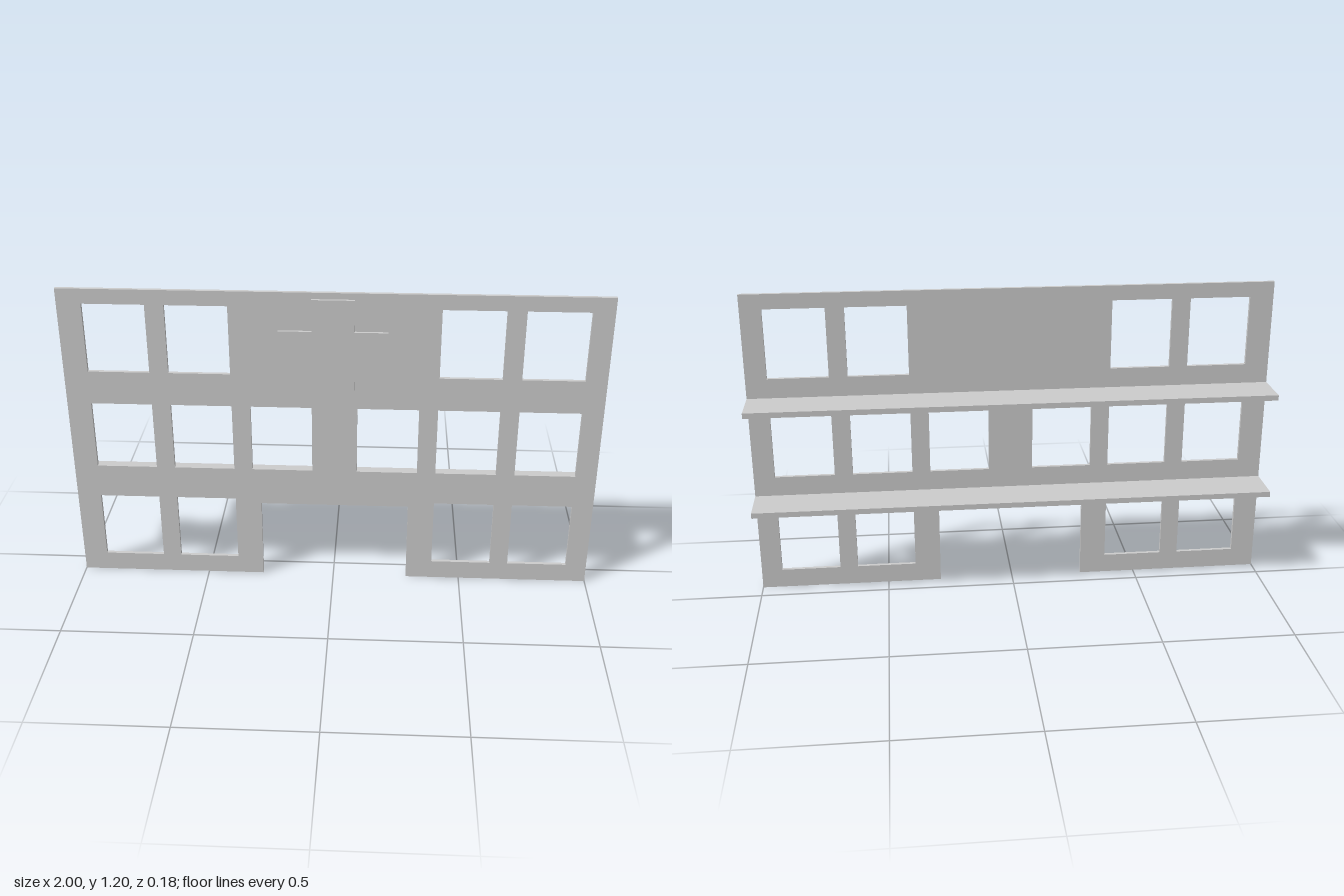
import * as THREE from 'three';

const material = new THREE.MeshStandardMaterial({ color: 0xcccccc, flatShading: true });

// Closed outline from corner points
const points = (list) => list.map(([x, y]) => new THREE.Vector2(x, y));

// Flat plate cut from a shape, spanning zBack to zFront
function plate(name, shape, zBack, zFront) {
  const geometry = new THREE.ExtrudeGeometry(shape, { depth: zFront - zBack, bevelEnabled: false });
  geometry.translate(0, 0, zBack);
  const mesh = new THREE.Mesh(geometry, material);
  mesh.name = name;
  return mesh;
}

export function createModel() {
  const group = new THREE.Group();
  group.name = 'hospitalFacade';

  // Facade outline with the doorway notch
  const wall = new THREE.Shape(points([
    [-1, 0], [-0.28, 0], [-0.28, 0.325], [0.29, 0.325],
    [0.29, 0], [1, 0], [1, 1.2], [-1, 1.2],
  ]));

  // Window openings: outer columns on every floor, inner pair on the middle floor
  const w = 0.23, h = 0.268;
  const outer = [-0.91, -0.61, 0.39, 0.69];
  const floors = [
    { y: 0.075, columns: outer },
    { y: 0.476, columns: [...outer, -0.31, 0.09] },
    { y: 0.875, columns: outer },
  ];
  for (const { y, columns } of floors) {
    for (const x of columns) {
      wall.holes.push(new THREE.Path(points([[x, y], [x, y + h], [x + w, y + h], [x + w, y]])));
    }
  }
  group.add(plate('facade', wall, 0.068, 0.082));

  // Raised cross above the doorway
  const a = 0.2, b = 0.078, cy = 0.976;
  const cross = new THREE.Shape(points([
    [-b, -a], [b, -a], [b, -b], [a, -b], [a, b], [b, b],
    [b, a], [-b, a], [-b, b], [-a, b], [-a, -b], [-b, -b],
  ].map(([x, y]) => [x, y + cy])));
  group.add(plate('cross', cross, 0.082, 0.092));

  // Floor slabs behind the facade
  [['lowerFloor', 0.389], ['upperFloor', 0.789]].forEach(([name, y]) => {
    const floor = new THREE.Mesh(new THREE.BoxGeometry(2, 0.021, 0.159), material);
    floor.name = name;
    floor.position.set(0, y, -0.0115);
    group.add(floor);
  });

  return group;
}
